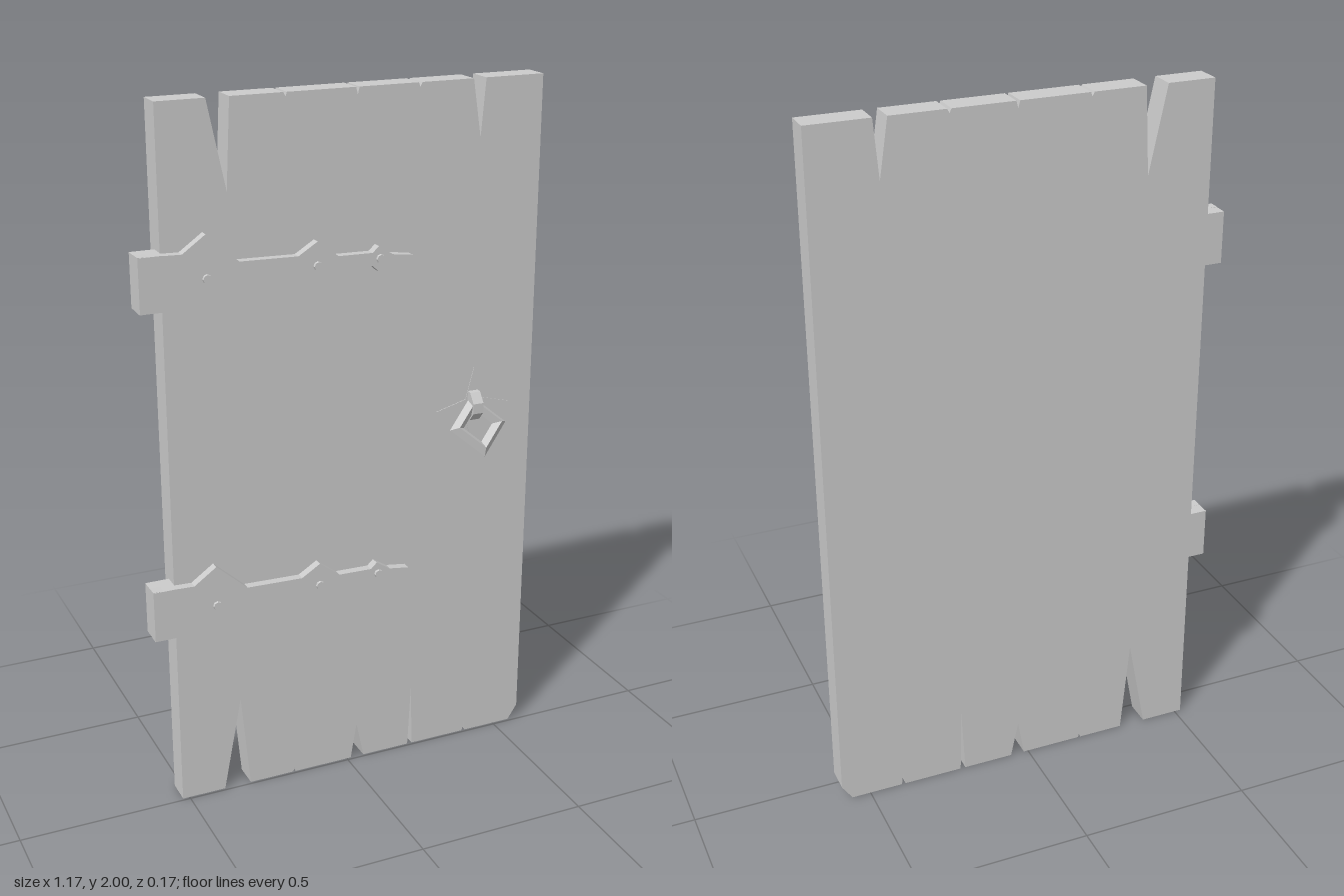
import * as THREE from 'three';

const grey = new THREE.MeshStandardMaterial({ color: 0xcccccc, flatShading: true });

// Flat outline extruded between two depths
function slab(name, points, z0, z1) {
  const shape = new THREE.Shape(points.map(([x, y]) => new THREE.Vector2(x, y)));
  const geo = new THREE.ExtrudeGeometry(shape, { depth: z1 - z0, bevelEnabled: false });
  geo.translate(0, 0, z0);
  const mesh = new THREE.Mesh(geo, grey);
  mesh.name = name;
  return mesh;
}

const BACK = -0.083, FRONT = -0.008;

// Seams between planks: x, then [left edge, tip y, right edge] of the top and bottom splits
const seams = [
  { x: -0.335, top: [-0.385, 1.76, -0.322], bottom: [-0.39, 0.285, -0.31] },
  { x: -0.17, top: [-0.176, 1.988, -0.166], bottom: [-0.175, 0.012, -0.167] },
  { x: 0.032, top: [0.027, 1.98, 0.037], bottom: [0.013, 0.11, 0.055] },
  { x: 0.213, top: [0.208, 1.988, 0.219], bottom: [0.203, 0.2, 0.218] },
  { x: 0.397, top: [0.372, 1.84, 0.41], bottom: [0.392, 0.045, 0.403] },
];

function buildPlanks() {
  const group = new THREE.Group();
  group.name = 'planks';
  for (let i = 0; i <= seams.length; i++) {
    const l = seams[i - 1], r = seams[i];
    const pts = [];
    if (l) pts.push([l.x, l.top[1]], [l.x, l.bottom[1]], [l.bottom[2], 0]);
    else pts.push([-0.52, 2], [-0.52, 0]);
    if (r) pts.push([r.bottom[0], 0], [r.x, r.bottom[1]], [r.x, r.top[1]], [r.top[0], 2]);
    else pts.push([0.555, 0], [0.585, 0.045], [0.585, 2]);
    if (l) pts.push([l.top[2], 2]);
    group.add(slab('plank', pts, BACK, FRONT));
  }
  return group;
}

// Upper half of the strap outline, mirrored for the lower half
const strapProfile = [
  [-0.588, 0.075], [-0.47, 0.071], [-0.405, 0.117], [-0.315, 0.036], [-0.15, 0.032],
  [-0.095, 0.066], [-0.035, 0.02], [0.065, 0.018], [0.083, 0.035], [0.125, 0.008],
];

function buildHinge(y) {
  const group = new THREE.Group();
  group.name = 'hinge';
  const lower = strapProfile.map(([x, h]) => [x, -h]);
  const outline = [...lower, [0.185, 0], ...strapProfile.slice().reverse()];
  group.add(slab('hingeStrap', outline, FRONT - 0.004, 0.018));

  // Knuckle beside the door edge
  const knuckle = new THREE.Mesh(new THREE.BoxGeometry(0.068, 0.148, 0.072), grey);
  knuckle.position.set(-0.554, 0, -0.016);
  knuckle.name = 'hingeKnuckle';
  group.add(knuckle);

  for (const x of [-0.405, -0.095, 0.088]) {
    const rivet = new THREE.Mesh(new THREE.CylinderGeometry(0.012, 0.014, 0.014, 8), grey);
    rivet.rotation.x = Math.PI / 2;
    rivet.position.set(x, 0, 0.018);
    rivet.name = 'rivet';
    group.add(rivet);
  }
  group.position.y = y;
  return group;
}

function buildHandle() {
  const group = new THREE.Group();
  group.name = 'handle';

  // Diamond pull ring hanging away from the door
  const ring = new THREE.Mesh(new THREE.TorusGeometry(0.068, 0.022, 4, 4), grey);
  ring.rotation.x = -Math.PI / 6;
  ring.position.set(0.392, 1.025, 0.035);
  ring.name = 'pullRing';
  group.add(ring);

  // Staple holding the ring: outline in (-z, y), turned to face sideways
  const staple = slab('staple', [
    [0.015, 1.035], [0.015, 1.12], [-0.008, 1.118], [-0.03, 1.09], [-0.03, 1.06], [-0.008, 1.035],
  ], -0.016, 0.016);
  staple.rotation.y = Math.PI / 2;
  staple.position.x = 0.395;
  group.add(staple);

  // Thin four-pointed backplate almost flush with the wood
  const star = [];
  for (let i = 0; i < 8; i++) {
    const a = (i * Math.PI) / 4, r = i % 2 ? 0.035 : 0.118;
    star.push([0.397 + r * Math.cos(a), 1.07 + r * Math.sin(a)]);
  }
  group.add(slab('backplate', star, FRONT - 0.01, FRONT + 0.002));
  return group;
}

export function createModel() {
  const door = new THREE.Group();
  door.name = 'door';
  door.add(buildPlanks(), buildHinge(1.545), buildHinge(0.612), buildHandle());
  return door;
}
